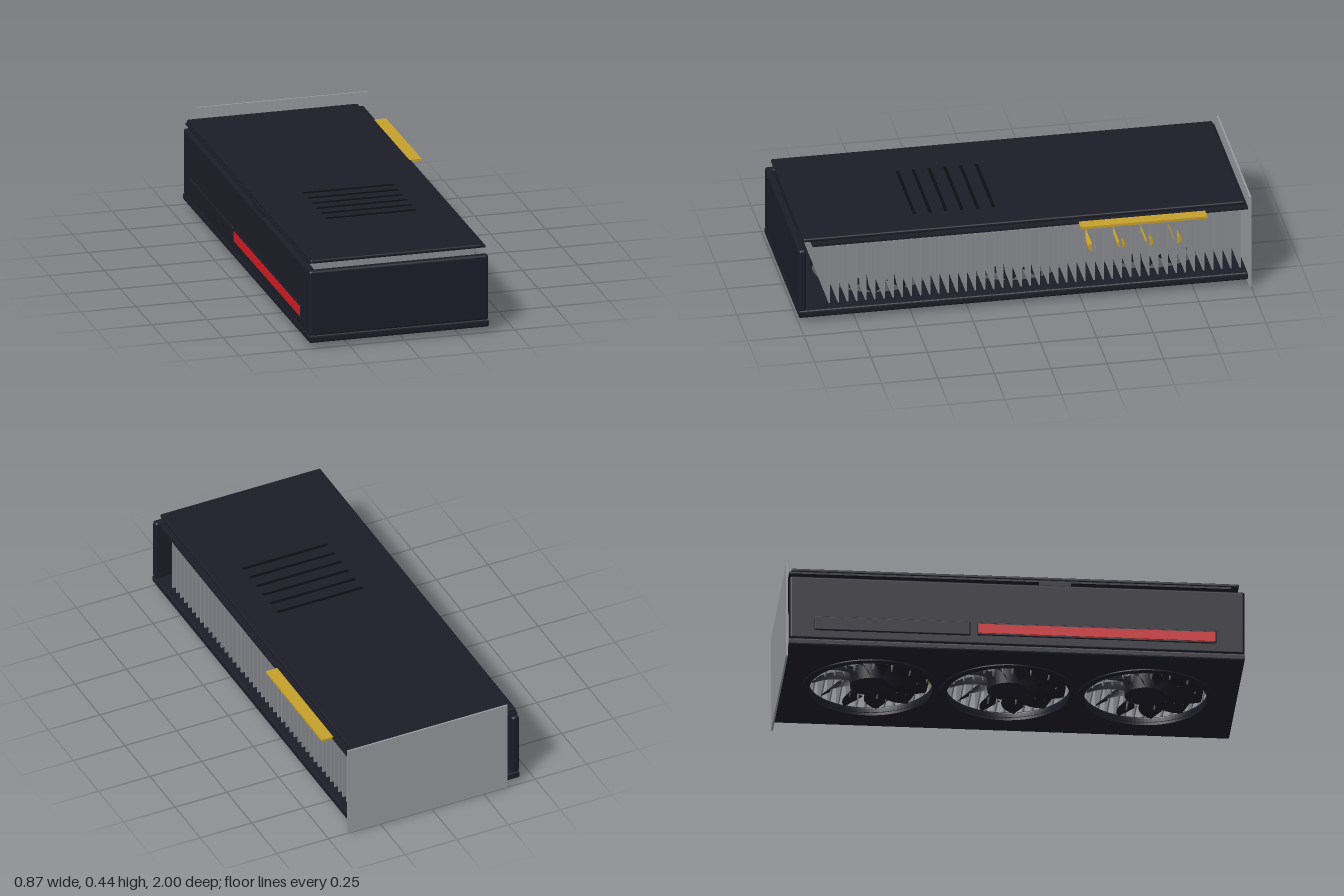
import * as THREE from 'three';
import { RoundedBoxGeometry } from 'three/addons/geometries/RoundedBoxGeometry.js';

const mat = (name, color, side = THREE.FrontSide) => {
  const m = new THREE.MeshStandardMaterial({ color, side });
  m.name = name;
  return m;
};

export function createModel() {
  const dark = mat('dark plastic', 0x1c1c28);
  const blade = mat('fan plastic', 0x181820, THREE.DoubleSide);
  const black = mat('slot black', 0x0c0c12);
  const metal = mat('fin metal', 0x8a8d92);
  const steel = mat('bracket steel', 0x98999e);
  const gold = mat('gold', 0xc4a02c);
  const red = mat('red', 0xd01c22);

  const model = new THREE.Group();
  model.name = 'graphicsCard';
  const add = (name, geometry, material, parent = model) => {
    const mesh = new THREE.Mesh(geometry, material);
    mesh.name = name;
    parent.add(mesh);
    return mesh;
  };
  // Box given by its extents; r rounds the edges
  const box = (name, material, x0, x1, y0, y1, z0, z1, r = 0, parent = model) => {
    const s = [x1 - x0, y1 - y0, z1 - z0];
    const g = r ? new RoundedBoxGeometry(...s, 3, r) : new THREE.BoxGeometry(...s);
    g.translate((x0 + x1) / 2, (y0 + y1) / 2, (z0 + z1) / 2);
    return add(name, g, material, parent);
  };

  const fanX = -0.01, fanZ = [0.6, 0, -0.6], holeR = 0.268;

  // Fan-side shroud plate with three round openings
  const b = 0.01;
  const outline = new THREE.Shape([
    [-0.43 + b, -0.99 + b], [0.383 - b, -0.99 + b], [0.383 - b, 1 - b], [-0.43 + b, 1 - b],
  ].map(([x, z]) => new THREE.Vector2(x, z)));
  for (const z of fanZ) {
    outline.holes.push(new THREE.Path().absarc(fanX, z, holeR + b, 0, Math.PI * 2, true));
  }
  const plate = new THREE.ExtrudeGeometry(outline, {
    depth: 0.036 - 2 * b, bevelSize: b, bevelThickness: b, bevelSegments: 3, curveSegments: 48,
  });
  plate.rotateX(Math.PI / 2).translate(0, 0.062 - b, 0);
  add('shroudPlate', plate, dark);

  // Shroud end cap and long side wall
  box('endCap', dark, -0.43, 0.383, 0.058, 0.358, 0.966, 1, 0.012);
  box('sideWall', dark, -0.43, -0.395, 0.058, 0.358, -0.99, 1, 0.012);
  box('sideTrim', dark, -0.437, -0.425, 0.1, 0.165, -0.88, -0.2, 0.005);
  box('lightFrame', dark, -0.435, -0.425, 0.103, 0.163, -0.17, 0.875, 0.004);
  box('lightBar', red, -0.438, -0.43, 0.112, 0.155, -0.165, 0.87);

  // Heatsink fins
  const fins = new THREE.Group();
  fins.name = 'heatsinkFins';
  model.add(fins);
  const finCount = 46;
  for (let i = 0; i < finCount; i++) {
    const z = 0.86 - (i * 1.82) / (finCount - 1);
    box('fin', metal, -0.38, 0.355, 0.075, 0.352, z - 0.003, z + 0.003, 0, fins);
  }

  // Heat pipes running across the fins
  for (const z of [-0.31, -0.44, -0.565, -0.69]) {
    const pipe = add('heatPipe', new THREE.CylinderGeometry(0.018, 0.018, 0.68, 12), gold);
    pipe.rotation.z = Math.PI / 2;
    pipe.position.set(-0.02, 0.22, z);
  }

  // Circuit board, edge contacts, power socket and backplate
  box('circuitBoard', dark, -0.42, 0.385, 0.373, 0.382, -0.99, 0.94);
  box('edgeContacts', gold, 0.38, 0.435, 0.372, 0.383, -0.8, -0.24);
  box('powerSocket', dark, -0.424, -0.358, 0.335, 0.38, 0.1, 0.24);
  box('backplate', dark, -0.417, 0.358, 0.383, 0.4, -0.98, 0.975, 0.007);
  for (let i = 0; i < 6; i++) {
    const z = 0.105 + i * 0.07;
    box('backplateSlot', black, -0.2, 0.21, 0.397, 0.402, z - 0.007, z + 0.007);
  }

  // Mounting bracket
  box('bracket', steel, -0.367, 0.408, 0.002, 0.445, -1, -0.992);

  // One swept, pitched fan blade as a grid surface
  const bladeGeometry = () => {
    const pos = [], idx = [], nr = 6, na = 4;
    for (let i = 0; i <= nr; i++) {
      const t = i / nr, r = 0.085 + 0.17 * t;
      for (let j = 0; j <= na; j++) {
        const u = j / na;
        const a = 0.35 * t * t + (u - 0.5) * 0.34;
        pos.push(r * Math.cos(a), 0.045 + 0.06 * u, r * Math.sin(a));
        if (i < nr && j < na) {
          const k = i * (na + 1) + j, n = k + na + 1;
          idx.push(k, k + 1, n, k + 1, n + 1, n);
        }
      }
    }
    const g = new THREE.BufferGeometry();
    g.setAttribute('position', new THREE.Float32BufferAttribute(pos, 3));
    g.setIndex(idx);
    g.computeVertexNormals();
    return g;
  };
  const bladeShape = bladeGeometry();
  const ringShape = new THREE.Shape().absarc(0, 0, 0.3, 0, Math.PI * 2);
  ringShape.holes.push(new THREE.Path().absarc(0, 0, holeR, 0, Math.PI * 2, true));
  const ring = new THREE.ExtrudeGeometry(ringShape, { depth: 0.012, bevelEnabled: false, curveSegments: 48 });
  ring.rotateX(Math.PI / 2).translate(0, 0.033, 0);

  // Three fans: trim ring, hub and blades
  for (const z of fanZ) {
    const fan = new THREE.Group();
    fan.name = 'fan';
    fan.position.set(fanX, 0, z);
    model.add(fan);
    add('fanRing', ring, dark, fan);
    const hub = add('fanHub', new THREE.CylinderGeometry(0.095, 0.09, 0.07, 32), dark, fan);
    hub.position.y = 0.07;
    for (let i = 0; i < 11; i++) {
      add('fanBlade', bladeShape, blade, fan).rotation.y = (i * Math.PI * 2) / 11;
    }
  }
  return model;
}
